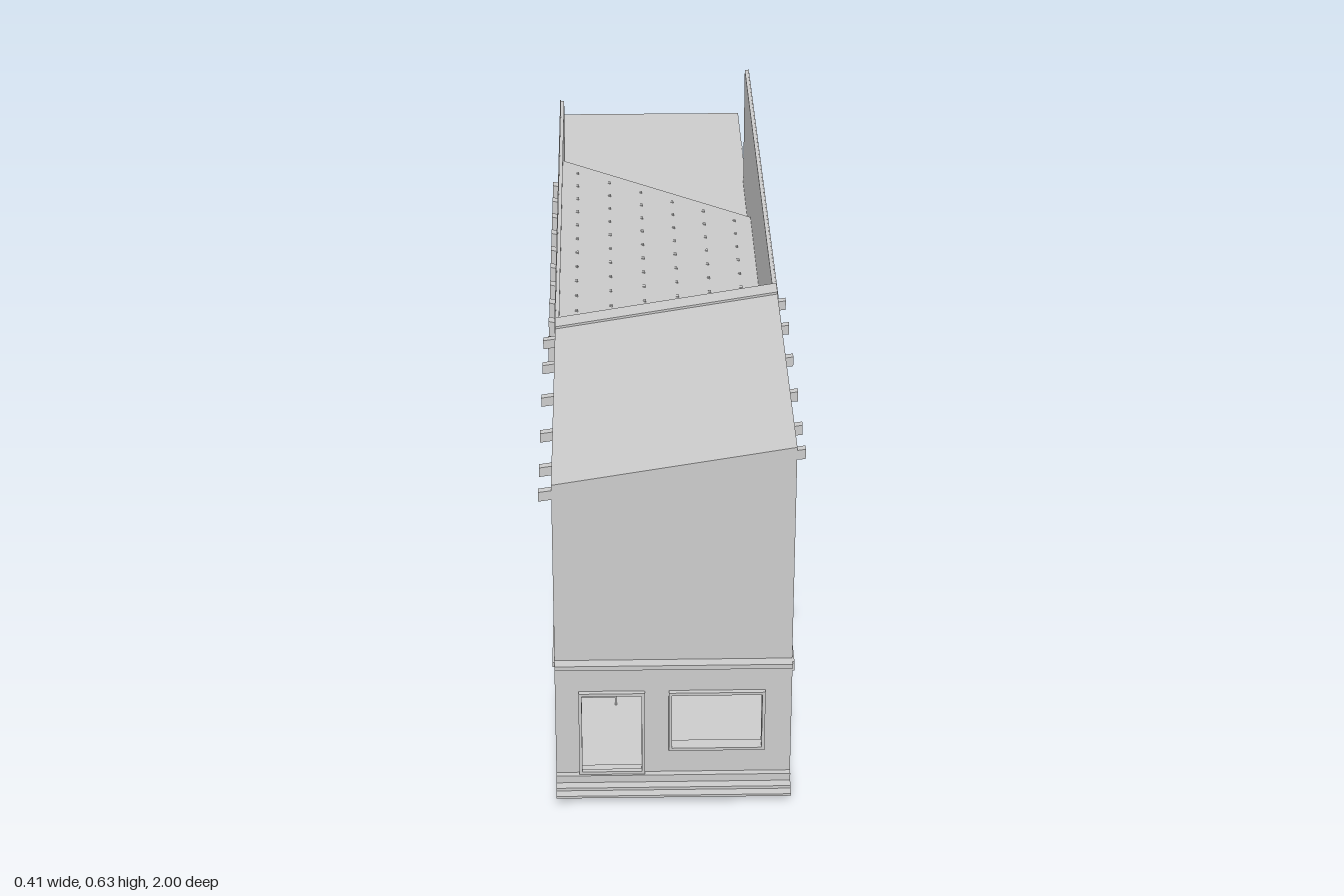
import * as THREE from 'three';

const mat = new THREE.MeshStandardMaterial({ color: 0xcccccc, flatShading: true, side: THREE.DoubleSide });
const L = -0.185, R = 0.19;       // side limits of the building
const T = 0.006;                  // wall thickness

function add(parent, name, geo) {
  const m = new THREE.Mesh(geo, mat);
  m.name = name;
  parent.add(m);
  return m;
}

function box(parent, name, x0, x1, y0, y1, z0, z1) {
  const g = new THREE.BoxGeometry(x1 - x0, y1 - y0, z1 - z0);
  g.translate((x0 + x1) / 2, (y0 + y1) / 2, (z0 + z1) / 2);
  return add(parent, name, g);
}

function poly(pts) {
  return new THREE.Shape(pts.map(p => new THREE.Vector2(p[0], p[1])));
}
const rect = (x0, x1, y0, y1) => [[x0, y0], [x1, y0], [x1, y1], [x0, y1]];

// Extrude an x-y outline with holes from z0 to z1
function wallXY(parent, name, pts, holes, z0, z1) {
  const s = poly(pts);
  holes.forEach(h => s.holes.push(poly(h)));
  const g = new THREE.ExtrudeGeometry(s, { depth: z1 - z0, bevelEnabled: false });
  g.translate(0, 0, z0);
  return add(parent, name, g);
}

// Extrude a z-y outline from x0 to x1
function wallZY(parent, name, pts, x0, x1) {
  const g = new THREE.ExtrudeGeometry(poly(pts.map(p => [-p[0], p[1]])), { depth: x1 - x0, bevelEnabled: false });
  g.rotateY(Math.PI / 2);
  g.translate(x0, 0, 0);
  return add(parent, name, g);
}

function frame(parent, name, x0, x1, y0, y1, z0, z1, w = 0.005) {
  wallXY(parent, name, rect(x0 - w, x1 + w, y0 - w, y1 + w), [rect(x0, x1, y0, y1)], z0, z1);
}

function buildShell(g) {
  box(g, 'groundFloor', L, R, 0.015, 0.021, -0.62, 0.95);
  box(g, 'upperFloor', L, R, 0.187, 0.193, -0.62, 0.95);
  // Right wall, full height; its upper sheet stands slightly proud
  box(g, 'rightWall', R - T, R, 0.015, 0.614, -0.62, 0.95);
  wallZY(g, 'rightParapet', [[0.415, 0.615], [0.415, 0.415], [-0.33, 0.415], [-0.33, 0.37], [-0.62, 0.37], [-0.62, 0.615]], R, R + 0.002);
  // Left wall with a tall slit behind the front block
  wallZY(g, 'leftWall', [[0.95, 0.015], [0.95, 0.55], [0.415, 0.55], [0.415, 0.245], [0.378, 0.245],
    [0.378, 0.55], [-0.62, 0.55], [-0.62, 0.015]], L, L + T);
  wallZY(g, 'leftParapet', [[0.378, 0.552], [0.378, 0.53], [-0.33, 0.53], [-0.33, 0.37], [-0.62, 0.37], [-0.62, 0.552]], L - 0.002, L);
  // Front block: upper front, rear cross wall, sloping roof and edge bar
  const slope = y => [[L, y], [R, y], [R, 0.614], [L, 0.552]];
  wallXY(g, 'upperFront', slope(0.19), [], 0.944, 0.95);
  wallXY(g, 'crossWall', slope(0.19), [], 0.41, 0.416);
  const roof = [[L, 0.55], [R, 0.612], [R, 0.622], [L, 0.56]];
  wallXY(g, 'frontRoof', roof, [], 0.41, 0.95);
  wallXY(g, 'roofEdgeBar', roof.map(p => [p[0], p[1] + 0.004]), [], 0.385, 0.42);
  // Middle roof, sloping down to the right, closed by a gable
  wallXY(g, 'middleRoof', [[L, 0.538], [R, 0.412], [R, 0.42], [L, 0.547]], [], -0.33, 0.41);
  wallXY(g, 'rearGable', [[L, 0.36], [R, 0.36], [R, 0.42], [L, 0.547]], [], -0.33, -0.325);
  box(g, 'rearFlatRoof', L, R, 0.362, 0.368, -0.62, -0.33);
  box(g, 'rearUpperWall', L, R, 0.187, 0.368, -0.62, -0.614);
}

function buildFront(g) {
  const door = rect(-0.143, -0.048, 0.0355, 0.185), win = rect(0, 0.143, 0.085, 0.185);
  wallXY(g, 'shopFront', rect(L, R, 0.035, 0.238), [door, win], 0.945, 0.96);
  frame(g, 'windowFrame', 0, 0.143, 0.085, 0.185, 0.96, 0.968);
  frame(g, 'doorFrame', -0.143, -0.048, 0.041, 0.185, 0.96, 0.968);
  box(g, 'shopLedge', L, R, 0.234, 0.242, 0.945, 0.968);
  [[1, 0.017], [0.985, 0.022], [0.97, 0.035]].forEach(([z, y]) => box(g, 'frontStep', L, R, 0.013, y, 0.94, z));
  box(g, 'rightBand', R, R + 0.003, 0.225, 0.242, 0.68, 0.96);
  box(g, 'leftBand', L - 0.003, L, 0.237, 0.245, 0.415, 0.96);
}

// A rear wing: hollow box with a framed window at the back
function buildWing(g, name, y0, y1, leftEnd) {
  const w = new THREE.Group();
  w.name = name;
  const a = y0 + 0.035, b = a + 0.095;
  box(w, 'wingFloor', L, R, y0, y0 + T, -0.99, -0.62);
  box(w, 'wingRoof', L, R, y1 - T, y1, -0.99, -0.62);
  box(w, 'wingRightWall', R - T, R, y0, y1, -0.99, -0.62);
  box(w, 'wingLeftWall', L, L + T, y0, y1, -0.99, leftEnd);
  wallXY(w, 'wingRearWall', rect(L, R, y0, y1), [rect(-0.108, 0.115, a, b)], -0.99, -0.98);
  frame(w, 'rearWindowFrame', -0.108, 0.115, a, b, -1, -0.985);
  [-0.045, 0.06].forEach(x => box(w, 'windowPost', x - 0.018, x + 0.008, b - 0.05, y1 - T, -0.95, -0.92));
  box(w, 'sideSeam', R, R + 0.001, y0, y1, -0.81, -0.798);
  g.add(w);
}

function buildDetails(g) {
  // Eave brackets under both long edges of the middle roof
  for (let i = 0; i < 10; i++) {
    const z = 0.375 - i * 0.0725;
    wallXY(g, 'rightBracket', [[R, 0.36], [0.202, 0.356], [0.202, 0.397], [R, 0.401]], [], z - 0.009, z + 0.009);
    wallXY(g, 'leftBracket', [[L, 0.475], [L, 0.517], [-0.198, 0.52], [-0.198, 0.479]], [], z - 0.009, z + 0.009);
  }
  // Beam ends below the front roof
  [0.943, 0.867, 0.757, 0.637, 0.523, 0.432].forEach(z => {
    wallXY(g, 'rightBeamEnd', [[R, 0.6], [0.203, 0.601], [0.203, 0.618], [R, 0.616]], [], z - 0.006, z + 0.006);
    wallXY(g, 'leftBeamEnd', [[L, 0.534], [L, 0.55], [-0.205, 0.547], [-0.205, 0.531]], [], z - 0.006, z + 0.006);
  });
  // Rows of small studs over the middle roof
  const stud = new THREE.BoxGeometry(0.005, 0.004, 0.007);
  for (let i = 0; i < 12; i++) for (let j = 0; j < 6; j++) {
    const x = L + 0.035 + j * 0.06;
    const m = add(g, 'roofStud', stud);
    m.position.set(x, 0.547 - (x - L) * 0.339, 0.36 - i * 0.059);
  }
  // Pair of side vents and the tilted struts under the floor
  [0.345, 0.395].forEach(z => {
    box(g, 'sideVent', R, R + 0.005, 0.104, 0.119, z - 0.008, z + 0.008);
    wallXY(g, 'floorStrut', [[-0.059, 0], [-0.006, 0.033], [-0.022, 0.033], [-0.06, 0.01]], [], z - 0.008, z + 0.008);
  });
}

function buildInterior(g) {
  const room = new THREE.Group();
  room.name = 'interior';
  // Partitions leave a clear line through to the rear window
  box(room, 'leftPartition', L, 0, 0.021, 0.187, 0.1, 0.106);
  box(room, 'rightPartition', 0.05, R, 0.021, 0.187, 0.1, 0.106);
  for (let i = 0; i < 17; i++) {
    const y = 0.04 + i * 0.0086, z = 0.75 - i * 0.03;
    box(room, 'stairTread', -0.165, -0.09, y - 0.004, y, z - 0.03, z);
  }
  box(room, 'stairWall', -0.09, -0.086, 0.021, 0.187, 0.25, 0.75);
  box(room, 'board', 0.115, 0.13, 0.105, 0.187, 0.6, 0.7);
  for (let i = 0; i < 4; i++) box(room, 'shelf', 0.085, 0.184, 0.125 + i * 0.016, 0.132 + i * 0.016, 0.4, 0.5);
  wallXY(room, 'rampBeam', [[0.05, 0.08], [0.065, 0.08], [0.12, 0.112], [0.11, 0.118]], [], 0.3, 0.34);
  [[0.055, 0.1, 0.45], [0.075, 0.113, 0.35], [0.03, 0.086, 0.55]].forEach(([x, y, z]) => {
    const top = add(room, 'tableTop', new THREE.CylinderGeometry(0.016, 0.016, 0.006, 16));
    top.position.set(x, y - 0.003, z);
    const leg = add(room, 'tableLeg', new THREE.CylinderGeometry(0.003, 0.003, y - 0.021, 8));
    leg.position.set(x, (y + 0.015) / 2, z);
  });
  g.add(room);
}

export function createModel() {
  const g = new THREE.Group();
  g.name = 'building';
  buildShell(g);
  buildFront(g);
  buildWing(g, 'lowerWing', 0.018, 0.183, -0.62);
  buildWing(g, 'upperWing', 0.203, 0.368, -0.675);
  buildDetails(g);
  buildInterior(g);
  return g;
}
